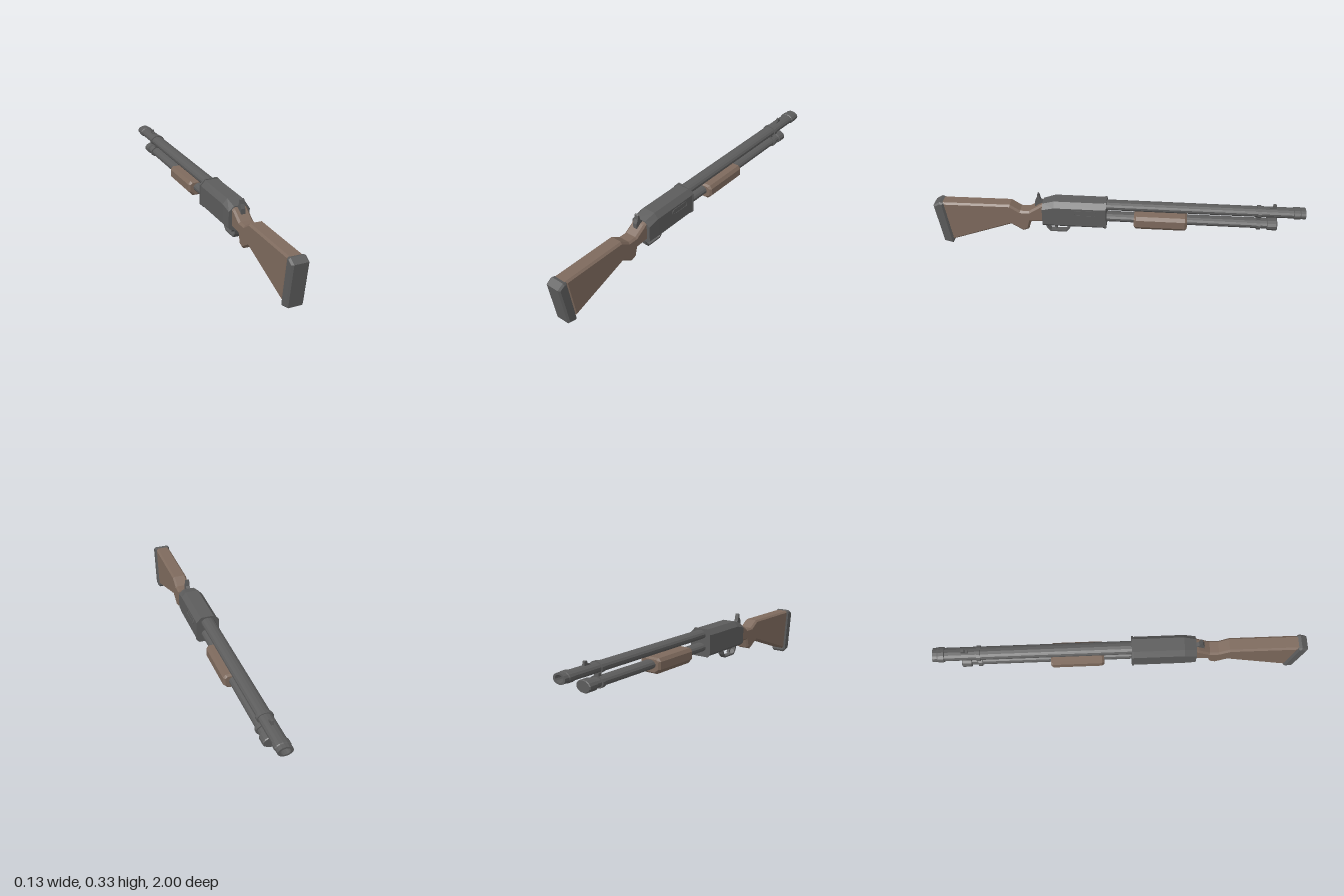
import * as THREE from 'three';

const metal = new THREE.MeshStandardMaterial({ color: 0x5c5c5c, flatShading: true });
metal.name = 'gunmetal';
const wood = new THREE.MeshStandardMaterial({ color: 0x7e6a5d, flatShading: true });
wood.name = 'walnut';

function add(group, name, geometry, material) {
  const mesh = new THREE.Mesh(geometry, material);
  mesh.name = name;
  group.add(mesh);
  return mesh;
}

// Side profile given as [z, y] points, extruded across x with chamfered edges
function sideShape(points) {
  return new THREE.Shape(points.map(([z, y]) => new THREE.Vector2(-z, y)));
}
function slab(shape, halfWidth, chamfer = 0) {
  const geo = new THREE.ExtrudeGeometry(shape, {
    depth: 2 * (halfWidth - chamfer), bevelEnabled: chamfer > 0, bevelSegments: 1,
    bevelThickness: chamfer, bevelSize: chamfer, bevelOffset: -chamfer, curveSegments: 6,
  });
  geo.translate(0, 0, -(halfWidth - chamfer));
  return geo.rotateY(Math.PI / 2);
}

// Flattened tube along z: points are [radius, z], running toward the muzzle
function tube(points, y) {
  const geo = new THREE.LatheGeometry(points.map(([r, z]) => new THREE.Vector2(r, -z)), 14);
  return geo.rotateX(-Math.PI / 2).scale(1.45, 1, 1).translate(0, y, 0);
}

// Octagonal ring, counter-clockwise seen from +z
function octagon(z, top, shoulder, hip, bottom, wTop, w, wBottom) {
  const half = [[wBottom, bottom], [w, hip], [w, shoulder], [wTop, top]];
  const mirrored = half.map(([x, y]) => [-x, y]).reverse();
  return [...half, ...mirrored].map(([x, y]) => [x, y, z]);
}

// Closed skin over rings ordered from low z to high z
function loft(rings) {
  const n = rings[0].length;
  const index = [];
  for (let s = 0; s < rings.length - 1; s++) {
    for (let i = 0; i < n; i++) {
      const a = s * n + i, b = s * n + (i + 1) % n;
      index.push(a, b, b + n, a, b + n, a + n);
    }
  }
  const last = (rings.length - 1) * n;
  for (let i = 1; i < n - 1; i++) {
    index.push(0, i + 1, i, last, last + i, last + i + 1);
  }
  const geo = new THREE.BufferGeometry();
  geo.setAttribute('position', new THREE.Float32BufferAttribute(rings.flat(2), 3));
  geo.setIndex(index);
  geo.computeVertexNormals();
  return geo;
}

export function createModel() {
  const g = new THREE.Group();
  g.name = 'pumpActionShotgun';

  // Stock with narrow wrist and grip hook
  add(g, 'stock', slab(sideShape([
    [0.95, 0.26], [0.915, 0.022], [0.578, 0.142], [0.513, 0.102], [0.481, 0.115],
    [0.468, 0.163], [0.39, 0.168], [0.39, 0.279], [0.415, 0.268], [0.476, 0.228],
    [0.524, 0.228], [0.578, 0.263],
  ]), 0.04, 0.01), wood);
  add(g, 'buttPad', slab(sideShape([
    [1.0, 0.243], [0.965, 0.012], [0.917, 0], [0.911, 0.012], [0.945, 0.258], [0.965, 0.264],
  ]), 0.045, 0.009), metal);

  // Receiver, sloping down at the rear, with a collar at the front
  add(g, 'receiver', loft([
    octagon(0.06, 0.3, 0.272, 0.167, 0.152, 0.036, 0.061, 0.046),
    octagon(0.335, 0.3, 0.272, 0.167, 0.152, 0.036, 0.061, 0.046),
    octagon(0.4, 0.28, 0.255, 0.167, 0.152, 0.03, 0.058, 0.044),
  ]), metal);
  add(g, 'receiverCollar', loft([0.054, 0.064].map(
    (z) => octagon(z, 0.305, 0.276, 0.165, 0.148, 0.037, 0.064, 0.047))), metal);

  // Ejection port frame and cover on the +x side
  const stadium = (r) => {
    const s = new THREE.Shape();
    s.absarc(-0.121, 0.246, r, -Math.PI / 2, Math.PI / 2);
    s.absarc(-0.209, 0.246, r, Math.PI / 2, Math.PI * 1.5);
    s.closePath();
    return s;
  };
  const frame = stadium(0.016);
  frame.holes.push(stadium(0.0125));
  add(g, 'portFrame', slab(frame, 0.002), metal).position.x = 0.0615;
  add(g, 'portCover', slab(stadium(0.0125), 0.0006), metal).position.x = 0.061;

  // Hollow barrel with muzzle ring
  add(g, 'barrel', tube([
    [0.0255, 0.06], [0.0255, -0.937], [0.029, -0.94], [0.029, -0.97], [0.027, -0.975],
    [0.027, -1], [0.018, -1], [0.018, -0.9], [0, -0.9],
  ], 0.272), metal);

  // Magazine tube with end cap
  add(g, 'magazineTube', tube([
    [0.025, 0.06], [0.025, -0.803], [0.032, -0.806], [0.032, -0.852], [0.029, -0.857], [0, -0.857],
  ], 0.2), metal);

  // Clamp joining barrel and magazine
  for (const [y, r] of [[0.272, 0.03], [0.2, 0.031]]) {
    add(g, 'clampRing', tube([[0.024, -0.748], [r, -0.748], [r, -0.768], [0.024, -0.768]], y), metal);
  }
  add(g, 'clampBridge', new THREE.BoxGeometry(0.03, 0.04, 0.02).translate(0, 0.236, -0.758), metal);

  // Sliding forend
  const forend = (z, e) => octagon(z, 0.236 - e, 0.218, 0.178, 0.151 + e, 0.05 - e, 0.063 - e, 0.037 - e);
  add(g, 'forend', loft([
    forend(-0.38, 0.009), forend(-0.368, 0), forend(-0.107, 0), forend(-0.095, 0.009),
  ]), wood);

  // Sights
  add(g, 'frontSight', slab(sideShape([
    [-0.81, 0.293], [-0.85, 0.293], [-0.845, 0.318], [-0.83, 0.318], [-0.828, 0.304], [-0.812, 0.302],
  ]), 0.007), metal);
  add(g, 'rearSight', slab(sideShape([
    [0.443, 0.25], [0.395, 0.25], [0.4, 0.28], [0.413, 0.29], [0.416, 0.305], [0.422, 0.327],
    [0.429, 0.322], [0.432, 0.3], [0.443, 0.278],
  ]), 0.0115), metal);

  // Trigger guard loop and trigger
  const guard = sideShape([
    [0.395, 0.155], [0.385, 0.118], [0.366, 0.094], [0.278, 0.094], [0.258, 0.115], [0.243, 0.155],
  ]);
  guard.holes.push(sideShape([
    [0.384, 0.151], [0.376, 0.121], [0.361, 0.102], [0.282, 0.102], [0.267, 0.119], [0.255, 0.151],
  ]));
  add(g, 'triggerGuard', slab(guard, 0.016), metal);
  add(g, 'trigger', slab(sideShape([
    [0.355, 0.155], [0.345, 0.13], [0.332, 0.108], [0.326, 0.11], [0.332, 0.132], [0.328, 0.155],
  ]), 0.008), metal);

  return g;
}
